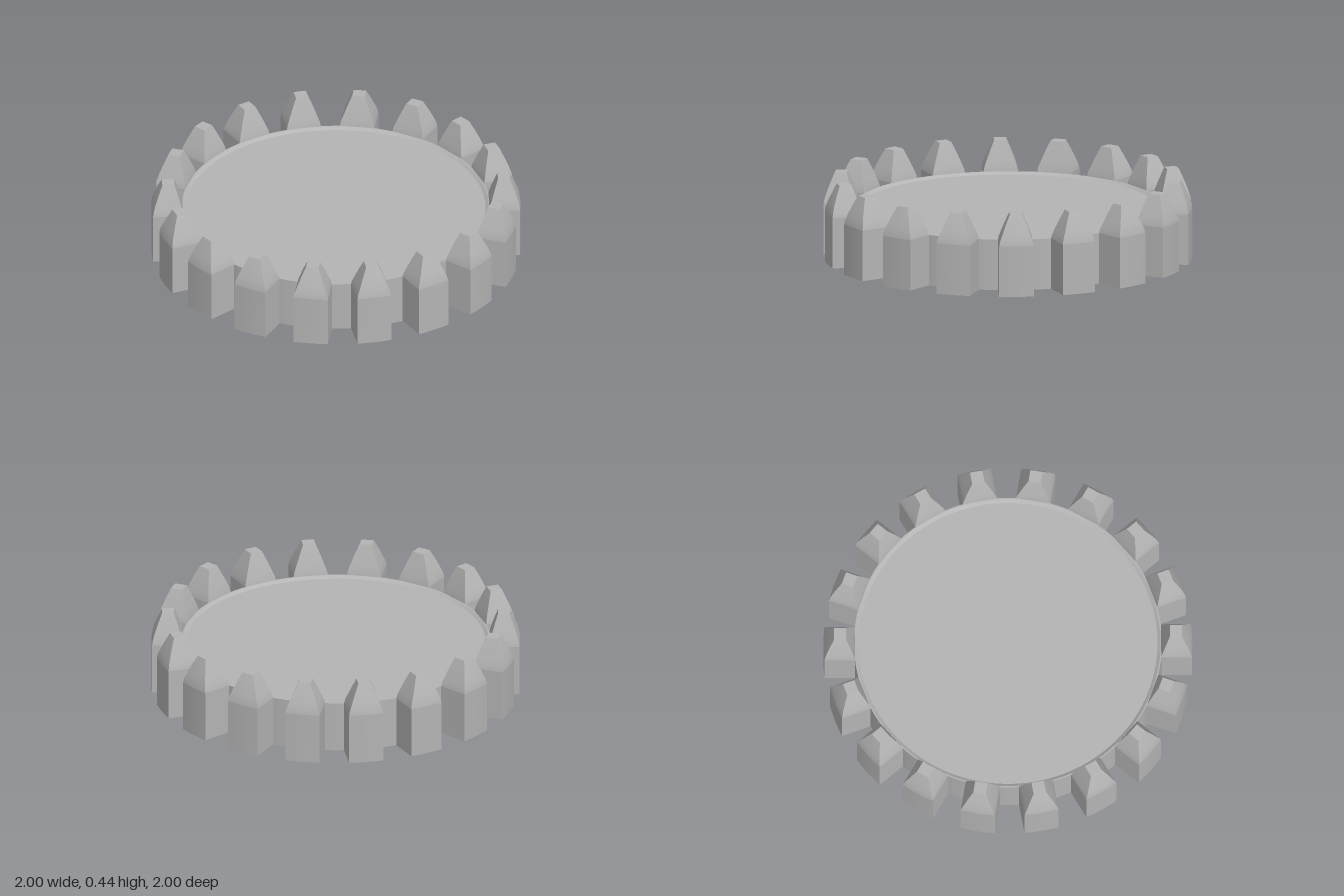
import * as THREE from 'three';

const TEETH = 18;
const PHASE = THREE.MathUtils.degToRad(4.8);
const ROOT = 0.835; // disc radius between the teeth
const RIM_Y = 0.28; // height of the disc rim and the tooth shoulders

// Tooth cross-sections: height, half width, inner radius, outer radius
const LEVELS = [
  [0, 0.094, 0.83, 1.0],
  [RIM_Y, 0.094, 0.83, 1.0],
  [0.305, 0.089, 0.834, 0.996],
  [0.34, 0.076, 0.844, 0.985],
  [0.39, 0.057, 0.859, 0.966],
  [0.445, 0.034, 0.877, 0.943],
];

// Grid of points with its own vertices, so its border stays a sharp edge
function patch(rows, positions, normals) {
  const geo = new THREE.BufferGeometry();
  const n = rows[0].length;
  const index = [];
  for (let j = 0; j < rows.length - 1; j++) {
    for (let i = 0; i < n - 1; i++) {
      const a = j * n + i;
      index.push(a, a + 1, a + n + 1, a, a + n + 1, a + n);
    }
  }
  geo.setAttribute('position', new THREE.Float32BufferAttribute(rows.flat(2), 3));
  geo.setIndex(index);
  geo.computeVertexNormals();
  const flat = geo.toNonIndexed();
  positions.push(...flat.attributes.position.array);
  normals.push(...flat.attributes.normal.array);
}

function toothGeometry() {
  const positions = [], normals = [];
  const steps = [-1, -0.5, 0, 0.5, 1];
  // Point on the outer arc (x radial, z tangential)
  const outer = ([y, w, , ro], s) => [ro - 1 + Math.sqrt(1 - (s * w) ** 2), y, s * w];
  const inner = ([y, w, ri], s) => [ri, y, s * w];
  const body = LEVELS.slice(0, 2), crown = LEVELS.slice(1);
  for (const part of [body, crown]) {
    patch(part.map(l => steps.map(s => outer(l, -s))), positions, normals);
    patch(part.map(l => [inner(l, -1), inner(l, 1)]), positions, normals);
    patch(part.map(l => [inner(l, 1), outer(l, 1)]), positions, normals);
    patch(part.map(l => [outer(l, -1), inner(l, -1)]), positions, normals);
  }
  // Flat tip and underside
  const cap = (l, f) => patch([steps.map(s => inner(l, f * s)), steps.map(s => outer(l, f * s))], positions, normals);
  cap(LEVELS[LEVELS.length - 1], 1);
  cap(LEVELS[0], -1);
  const geo = new THREE.BufferGeometry();
  geo.setAttribute('position', new THREE.Float32BufferAttribute(positions, 3));
  geo.setAttribute('normal', new THREE.Float32BufferAttribute(normals, 3));
  return geo;
}

export function createModel() {
  const model = new THREE.Group();
  model.name = 'crownGear';
  const grey = new THREE.MeshStandardMaterial({ color: 0xb4b4b4 });
  grey.name = 'grey';

  // Disc with a shallow recess inside its rim; doubled points keep edges sharp
  const profile = [
    [0, 0], [ROOT, 0], [ROOT, 0], [ROOT, RIM_Y], [ROOT, RIM_Y], [0.828, RIM_Y],
    [0.828, RIM_Y], [0.81, 0.267], [0.81, 0.267], [0, 0.267],
  ].map(([r, y]) => new THREE.Vector2(r, y));
  const discGeometry = new THREE.LatheGeometry(profile, 108);
  // Each doubled pair is split into its own band of crisp normals
  const flatDisc = discGeometry.toNonIndexed();
  flatDisc.computeVertexNormals();
  const disc = new THREE.Mesh(flatDisc, grey);
  disc.name = 'disc';
  model.add(disc);

  // Ring of tapered teeth
  const teeth = new THREE.Group();
  teeth.name = 'teeth';
  const geometry = toothGeometry();
  for (let i = 0; i < TEETH; i++) {
    const tooth = new THREE.Mesh(geometry, grey);
    tooth.name = 'tooth';
    tooth.rotation.y = -(PHASE + (i * 2 * Math.PI) / TEETH);
    teeth.add(tooth);
  }
  model.add(teeth);
  return model;
}
